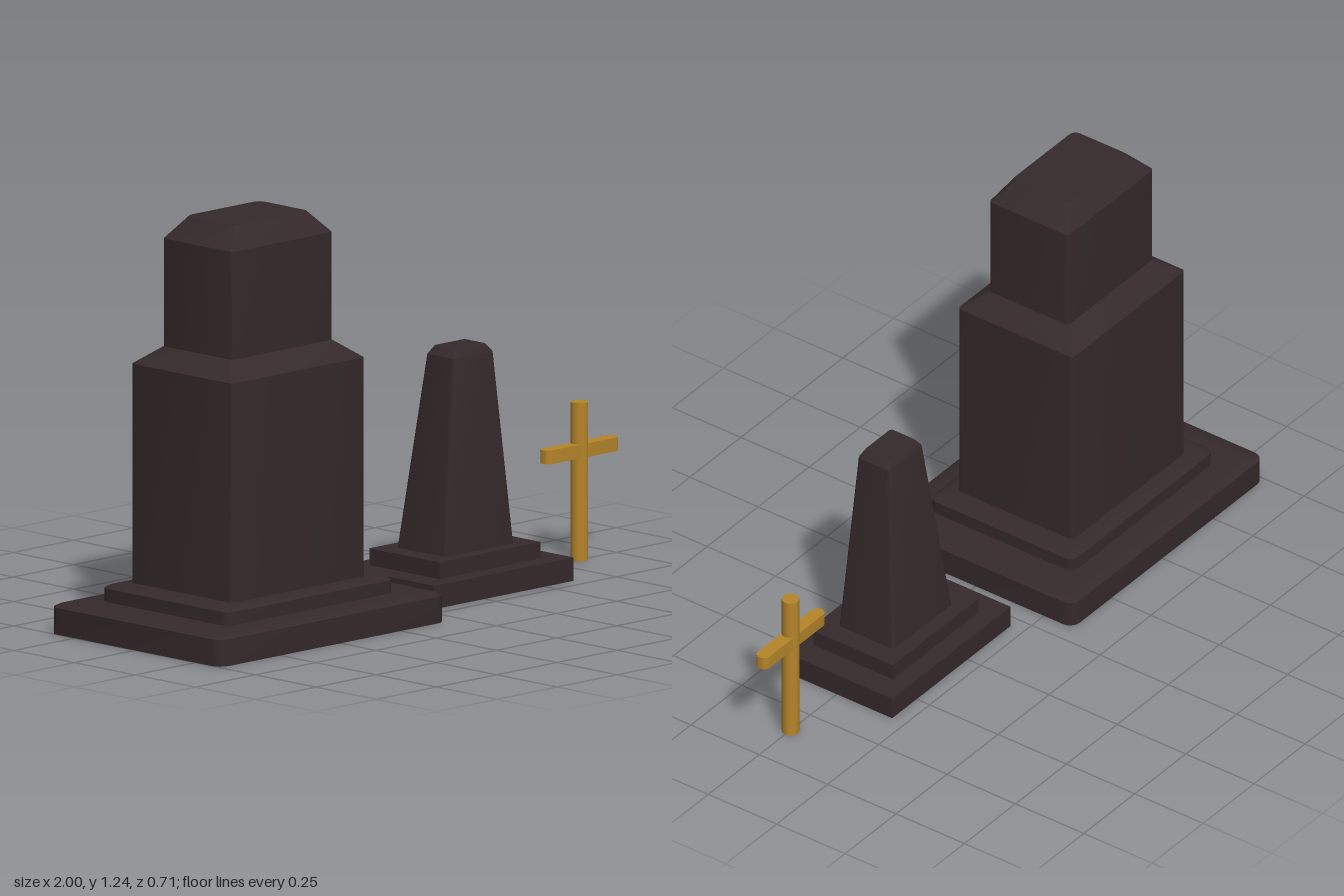
import * as THREE from 'three';
import { toCreasedNormals } from 'three/addons/utils/BufferGeometryUtils.js';

const ARC = 4; // segments per rounded corner

// Outline of a rounded rectangle at height y: [y, halfX, halfZ, radius, offsetZ]
function ring([y, hx, hz, r, oz = 0]) {
  const pts = [];
  [[1, 1], [-1, 1], [-1, -1], [1, -1]].forEach(([sx, sz], q) => {
    for (let i = 0; i <= ARC; i++) {
      const a = (q + i / ARC) * Math.PI / 2;
      pts.push([sx * (hx - r) + r * Math.cos(a), y, oz + sz * (hz - r) + r * Math.sin(a)]);
    }
  });
  return pts;
}

// Closed solid through a stack of rounded rectangles
function loft(sections) {
  const rings = sections.map(ring);
  const n = rings[0].length;
  const pos = rings.flat(2);
  const index = [];
  for (let s = 0; s < rings.length - 1; s++) {
    for (let i = 0; i < n; i++) {
      const a = s * n + i, b = s * n + (i + 1) % n;
      index.push(a, a + n, b, b, a + n, b + n);
    }
  }
  const top = (rings.length - 1) * n;
  for (let i = 1; i < n - 1; i++) {
    index.push(0, i, i + 1);
    index.push(top, top + i + 1, top + i);
  }
  const g = new THREE.BufferGeometry();
  g.setAttribute('position', new THREE.Float32BufferAttribute(pos, 3));
  g.setIndex(index);
  return toCreasedNormals(g, 0.45);
}

export function createModel() {
  const model = new THREE.Group();
  const stone = new THREE.MeshStandardMaterial({ color: 0x35292b });
  const gold = new THREE.MeshStandardMaterial({ color: 0xb5852a });

  const group = (name, x) => {
    const g = new THREE.Group();
    g.name = name;
    g.position.x = x;
    model.add(g);
    return g;
  };
  const add = (parent, name, geometry, material) => {
    const m = new THREE.Mesh(geometry, material);
    m.name = name;
    parent.add(m);
    return m;
  };

  // Large stepped monument
  const monument = group('monument', -0.53);
  add(monument, 'monumentBase', loft([
    [0, 0.47, 0.355, 0.035], [0.08, 0.47, 0.355, 0.035],
    [0.088, 0.455, 0.34, 0.03], [0.092, 0.42, 0.305, 0.03],
  ]), stone);
  add(monument, 'monumentStep', loft([
    [0.085, 0.348, 0.264, 0.03], [0.132, 0.348, 0.264, 0.03],
    [0.14, 0.335, 0.25, 0.025], [0.144, 0.305, 0.225, 0.025],
  ]), stone);
  add(monument, 'monumentBody', loft([
    [0.14, 0.276, 0.21, 0.012], [0.8, 0.276, 0.21, 0.012], [0.852, 0.21, 0.145, 0.012],
  ]), stone);
  add(monument, 'monumentHead', loft([
    [0.85, 0.21, 0.145, 0.012], [1.175, 0.21, 0.145, 0.012], [1.24, 0.152, 0.104, 0.022],
  ]), stone);

  // Small tapered obelisk; its top leans towards the front
  const obelisk = group('obelisk', 0.33);
  [['obeliskBase', 0.58, 0.07, 0.405, 0.035], ['obeliskStep', 0.42, 0.05, 0.29, 0.095]]
    .forEach(([name, w, h, d, y]) => {
      add(obelisk, name, new THREE.BoxGeometry(w, h, d), stone).position.y = y;
    });
  add(obelisk, 'obeliskShaft', loft([
    [0.118, 0.144, 0.101, 0.01, 0.002],
    [0.7, 0.083, 0.058, 0.01, 0.021],
    [0.724, 0.065, 0.046, 0.01, 0.021],
  ]), stone);

  // Cross: round post and a flat bar with rounded ends
  const cross = group('cross', 0.847);
  add(cross, 'crossPost', new THREE.CylinderGeometry(0.026, 0.026, 0.474, 20), gold).position.y = 0.237;
  add(cross, 'crossBar', loft([
    [0.309, 0.152, 0.021, 0.02], [0.35, 0.152, 0.021, 0.02],
  ]), gold);

  return model;
}
